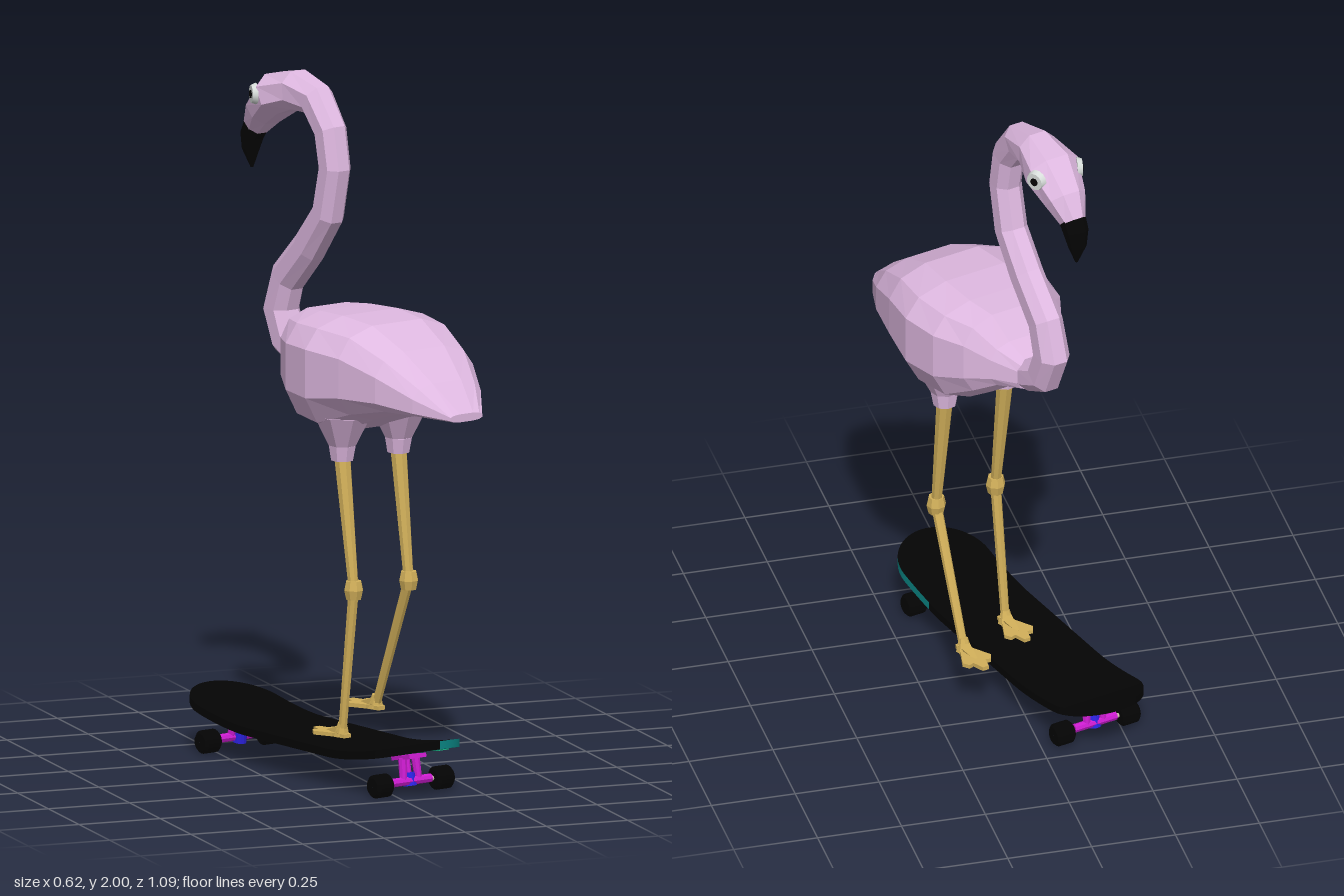
import * as THREE from 'three';

const mat = (name, color) => Object.assign(new THREE.MeshStandardMaterial({ color }), { name });
const V = (x, y, z) => new THREE.Vector3(x, y, z);
const YAW = 0.28;

export function createModel() {
  const pink = mat('feather pink', 0xdeb8e0);
  const gold = mat('leg gold', 0xd2b05a);
  const black = mat('black', 0x040404);
  const white = mat('eye white', 0xd8dedb);
  const teal = mat('deck teal', 0x0a8886);
  const green = mat('deck green', 0x18ac80);
  const magenta = mat('truck magenta', 0xcc1cd0);
  const blue = mat('bushing blue', 0x2c22e0);
  const steel = mat('axle cream', 0xcbbfa8);

  const model = new THREE.Group();
  model.name = 'flamingoOnSkateboard';
  const add = (parent, name, geo, material, x = 0, y = 0, z = 0) => {
    const m = new THREE.Mesh(geo, material);
    m.name = name;
    m.position.set(x, y, z);
    parent.add(m);
    return m;
  };
  const faceted = (geo) => {
    const g = geo.index ? geo.toNonIndexed() : geo;
    g.computeVertexNormals();
    return g;
  };

  // Loft through stations [z, y, halfWidth, up, down], running towards -z
  function loft(stations, sides, power, upright) {
    const pos = [], idx = [], n = stations.length;
    const sp = (v) => Math.sign(v) * Math.abs(v) ** power;
    stations.forEach(([z, y, w, up, down], i) => {
      const a = stations[Math.max(i - 1, 0)], b = stations[Math.min(i + 1, n - 1)];
      const t = upright ? V(0, 0, -1) : V(0, b[1] - a[1], b[0] - a[0]).normalize();
      const normal = V(1, 0, 0).cross(t);
      for (let j = 0; j < sides; j++) {
        const ang = ((j + 0.5) / sides) * Math.PI * 2;
        const s = sp(Math.sin(ang)), h = s * (s > 0 ? up : down ?? up);
        pos.push(w * sp(Math.cos(ang)), y + normal.y * h, z + normal.z * h);
      }
    });
    for (let i = 0; i < n - 1; i++) for (let j = 0; j < sides; j++) {
      const k = (j + 1) % sides, a = i * sides + j, b = i * sides + k;
      idx.push(a, a + sides, b, b, a + sides, b + sides);
    }
    const last = (n - 1) * sides;
    for (let j = 1; j < sides - 1; j++) idx.push(0, j, j + 1, last, last + j + 1, last + j);
    const g = new THREE.BufferGeometry();
    g.setAttribute('position', new THREE.Float32BufferAttribute(pos, 3));
    g.setIndex(idx);
    return faceted(g);
  }

  // Bird, turned with the board
  const bird = new THREE.Group();
  bird.name = 'bird';
  bird.position.x = 0.065;
  bird.rotation.y = YAW;
  model.add(bird);

  add(bird, 'body', loft([
    [0.495, 1.108, 0.058, 0.012, 0.012],
    [0.4, 1.13, 0.125, 0.07, 0.03],
    [0.29, 1.165, 0.18, 0.115, 0.07],
    [0.16, 1.19, 0.215, 0.148, 0.135],
    [0.03, 1.2, 0.238, 0.148, 0.2],
    [-0.09, 1.2, 0.218, 0.143, 0.19],
    [-0.18, 1.2, 0.168, 0.135, 0.13],
    [-0.235, 1.185, 0.108, 0.08, 0.07],
    [-0.29, 1.17, 0.048, 0.048, 0.048],
  ], 12, 0.66, true), pink);

  add(bird, 'neckAndHead', loft([
    [-0.2, 1.165, 0.06, 0.06],
    [-0.29, 1.172, 0.052, 0.052],
    [-0.36, 1.205, 0.05, 0.055],
    [-0.397, 1.29, 0.05, 0.058],
    [-0.365, 1.385, 0.048, 0.056],
    [-0.26, 1.49, 0.047, 0.053],
    [-0.172, 1.6, 0.046, 0.05],
    [-0.14, 1.74, 0.045, 0.049],
    [-0.16, 1.845, 0.046, 0.05],
    [-0.225, 1.927, 0.05, 0.052],
    [-0.315, 1.943, 0.062, 0.059],
    [-0.4, 1.92, 0.085, 0.066],
    [-0.475, 1.86, 0.062, 0.053],
    [-0.52, 1.807, 0.037, 0.038],
  ], 8, 0.9), pink);

  add(bird, 'beak', loft([
    [-0.512, 1.817, 0.039, 0.039],
    [-0.535, 1.78, 0.036, 0.036],
    [-0.543, 1.735, 0.027, 0.024],
    [-0.538, 1.68, 0.004, 0.004],
  ], 8, 0.9), black);

  for (const side of [1, -1]) {
    const eye = new THREE.Group();
    eye.name = side > 0 ? 'leftEye' : 'rightEye';
    eye.position.set(side * 0.073, 1.92, -0.432);
    eye.rotation.set(0, side * 0.42, -side * Math.PI / 2);
    bird.add(eye);
    add(eye, 'eyeball', new THREE.CylinderGeometry(0.026, 0.032, 0.016, 14), white);
    add(eye, 'pupil', new THREE.CylinderGeometry(0.012, 0.012, 0.004, 10), black, 0, 0.009, 0);
  }

  // Legs: tapered rods between joints
  const rod = (parent, name, a, b, ra, rb, material, sides = 8) => {
    const d = b.clone().sub(a);
    const m = add(parent, name, faceted(new THREE.CylinderGeometry(rb, ra, d.length(), sides)), material);
    m.position.copy(a).addScaledVector(d, 0.5);
    m.quaternion.setFromUnitVectors(V(0, 1, 0), d.normalize());
    return m;
  };
  const footShape = new THREE.Shape([
    [-0.012, -0.025], [0.012, -0.025], [0.022, 0.02], [0.048, 0.075], [0.036, 0.095], [0.02, 0.09],
    [0.01, 0.125], [-0.01, 0.125], [-0.02, 0.09], [-0.036, 0.095], [-0.048, 0.075], [-0.022, 0.02],
  ].map(([x, y]) => new THREE.Vector2(x, y)));

  function leg(name, hip, knee, ankle) {
    const g = new THREE.Group();
    g.name = name;
    model.add(g);
    rod(g, 'thigh', V(hip.x, 0.925, hip.z), V(hip.x, 0.97, hip.z + 0.002), 0.034, 0.042, pink);
    rod(g, 'thighFlare', V(hip.x, 0.97, hip.z + 0.002), V(hip.x, 1.06, hip.z + 0.005), 0.042, 0.088, pink);
    rod(g, 'upperLeg', knee, V(hip.x, 0.94, hip.z), 0.015, 0.025, gold);
    rod(g, 'kneeLow', knee.clone().add(V(0, -0.027, 0)), knee, 0.023, 0.029, gold);
    rod(g, 'kneeHigh', knee, knee.clone().add(V(0, 0.027, 0)), 0.029, 0.023, gold);
    rod(g, 'lowerLeg', ankle, knee, 0.013, 0.016, gold);
    rod(g, 'ankle', ankle.clone().add(V(0, -0.012, -0.006)), ankle.clone().add(V(0, 0.028, 0)), 0.024, 0.013, gold);
    const foot = new THREE.ExtrudeGeometry(footShape, { depth: 0.012, bevelEnabled: false });
    foot.rotateX(-Math.PI / 2);
    add(g, 'foot', foot, gold, ankle.x, ankle.y - 0.015, ankle.z).rotation.y = YAW;
    const instep = V(-0.02, -0.008, -0.07).add(ankle);
    rod(g, 'instep', instep, ankle.clone().add(V(0, 0.004, 0)), 0.006, 0.02, gold, 6);
  }
  leg('leftLeg', V(0.168, 0, 0.01), V(0.18, 0.556, 0.062), V(0.142, 0.166, -0.1));
  leg('rightLeg', V(-0.027, 0, 0.068), V(-0.015, 0.553, 0.13), V(-0.03, 0.128, 0.078));

  // Skateboard
  const board = new THREE.Group();
  board.name = 'skateboard';
  board.position.x = -0.055;
  board.rotation.y = YAW;
  model.add(board);
  const R = 0.14, STRAIGHT = 0.416, L = R + STRAIGHT;
  const halfWidth = (s) => Math.sqrt(Math.max(0, R * R - Math.max(0, Math.abs(s) - STRAIGHT) ** 2));
  const lift = (s) => 0.062 * Math.max(0, (Math.abs(s) - 0.2) / (L - 0.2)) ** 1.6;

  // Deck section bent from a box, with rows crowded towards the rounded ends
  function deckPart(name, s0, s1, leftEdge, under) {
    const g = new THREE.BoxGeometry(2, 1, 1, 8, 1, 24);
    const p = g.attributes.position;
    const a0 = Math.asin(s0 / L), a1 = Math.asin(s1 / L);
    for (let i = 0; i < p.count; i++) {
      const s = L * Math.sin(a0 + (a1 - a0) * (p.getZ(i) + 0.5));
      p.setXYZ(i, p.getX(i) * halfWidth(s), 0.102 + p.getY(i) * 0.024 + lift(s), s);
    }
    g.computeVertexNormals();
    add(board, name, g, [leftEdge, black, black, under, black, black]);
  }
  deckPart('deckBack', -L, 0.03, black, black);
  deckPart('deckMiddle', 0.03, 0.28, black, teal);
  deckPart('deckFront', 0.28, L, teal, teal);

  // Painted patches under the deck
  const splat = new THREE.Shape(Array.from({ length: 20 }, (_, i) => {
    const a = (i / 20) * Math.PI * 2, r = i % 2 ? 0.75 : 1;
    return new THREE.Vector2(Math.cos(a) * r * 0.06, Math.sin(a) * r * 0.09);
  }));
  add(board, 'paintSplash', new THREE.ShapeGeometry(splat).rotateX(Math.PI / 2), black, 0.01, 0.0885, 0.13);
  const stripe = add(board, 'paintStripe', new THREE.BoxGeometry(0.035, 0.004, 0.1), green, 0.108, 0.0895 + lift(0.38), 0.38);
  stripe.rotation.x = -0.17;

  // Trucks and wheels
  const wheelProfile = [[0.001, -0.03], [0.026, -0.03], [0.034, -0.022], [0.034, 0.022], [0.026, 0.03], [0.001, 0.03]]
    .map(([r, y]) => new THREE.Vector2(r, y));
  for (const dir of [1, -1]) {
    const truck = new THREE.Group();
    truck.name = dir > 0 ? 'frontTruck' : 'backTruck';
    truck.position.z = dir * 0.415;
    truck.rotation.y = dir > 0 ? 0 : Math.PI;
    board.add(truck);
    const plate = add(truck, 'basePlate', new THREE.BoxGeometry(0.06, 0.012, 0.09), magenta, 0, 0.107, -0.01);
    plate.rotation.x = -0.2;
    for (const x of [-0.027, 0.027])
      rod(truck, 'strut', V(x, 0.04, 0), V(x * 0.85, 0.105, -0.01), 0.011, 0.013, magenta);
    rod(truck, 'bushing', V(0, 0.022, -0.004), V(0, 0.06, -0.012), 0.021, 0.018, blue, 12);
    rod(truck, 'kingpin', V(0, 0.06, -0.012), V(0, 0.1, -0.02), 0.009, 0.009, magenta);
    rod(truck, 'hanger', V(-0.07, 0.038, 0), V(0.07, 0.038, 0), 0.013, 0.013, magenta);
    rod(truck, 'axle', V(-0.13, 0.036, 0), V(0.13, 0.036, 0), 0.007, 0.007, steel);
    for (const x of [-0.109, 0.109]) {
      const wheel = add(truck, 'wheel', faceted(new THREE.LatheGeometry(wheelProfile, 18)), black, x, 0.035, 0);
      wheel.rotation.z = Math.PI / 2;
    }
  }
  return model;
}
